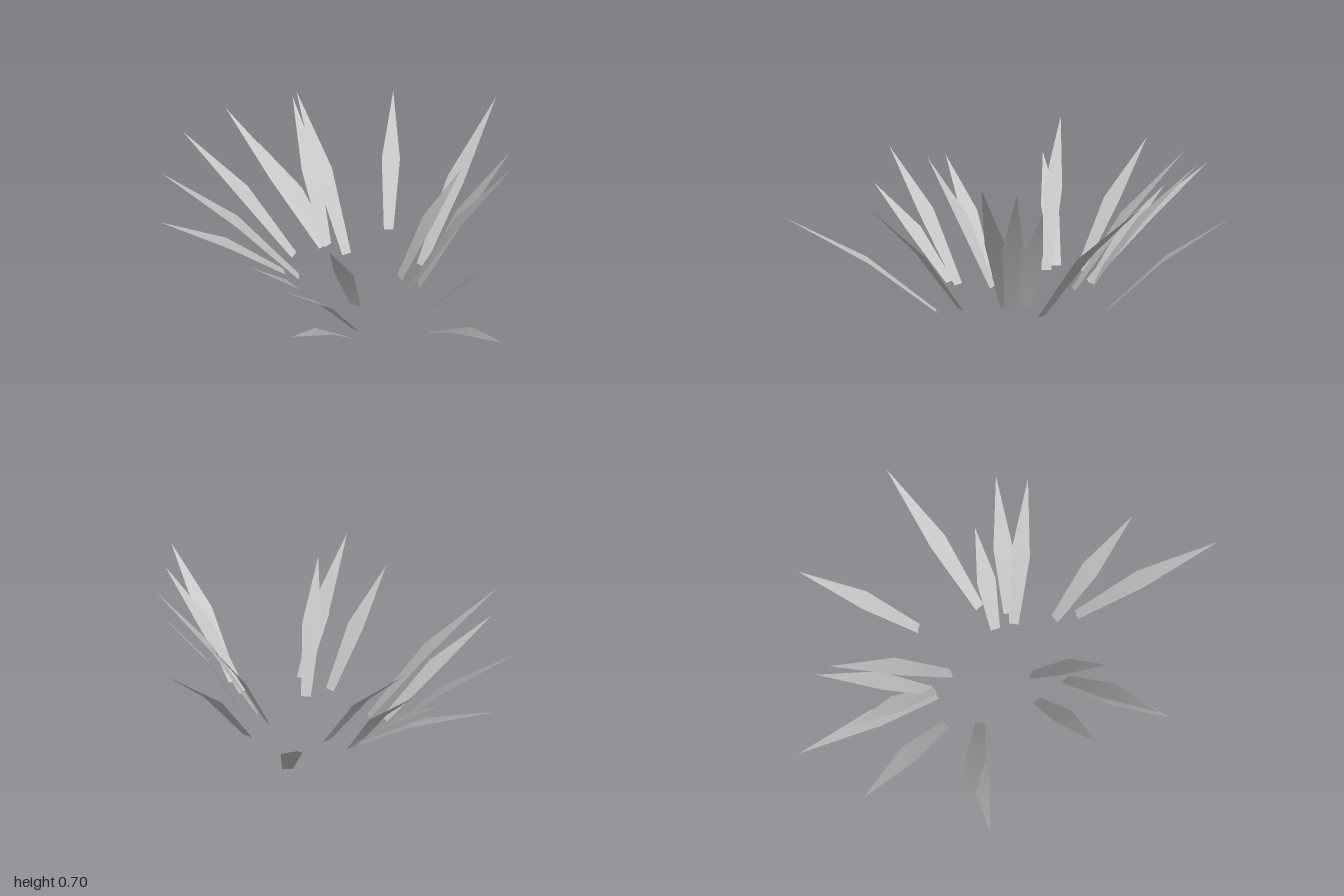
import * as THREE from 'three';

// Each blade: base x, base z, tip x, tip z, tip height
const BLADES = [
  [-0.107, -0.4, -0.38, -0.863, 0.485],
  [0.174, -0.247, 0.216, -0.845, 0.66],
  [0.138, -0.112, 0.299, -0.377, 0.545],
  [0.243, -0.118, 0.51, -0.433, 0.685],
  [0.218, -0.062, 0.588, -0.308, 0.7],
  [0.37, 0.074, 0.812, 0.137, 0.565],
  [0.458, 0.14, 1.0, 0.502, 0.492],
  [0.17, 0.37, 0.22, 0.858, 0.405],
  [0.165, 0.313, 0.148, 0.818, 0.587],
  [0.073, 0.172, 0.167, 0.51, 0.59],
  [-0.008, 0.277, -0.115, 0.7, 0.513],
  [-0.35, 0.155, -0.706, 0.594, 0.433],
  [-0.27, 0.147, -0.747, 0.505, 0.635],
  [-0.385, 0.027, -0.967, 0.102, 0.556],
  [-0.305, -0.105, -1.0, -0.262, 0.486],
  [-0.29, -0.13, -0.75, -0.195, 0.41],
  [-0.175, -0.123, -0.645, -0.388, 0.64],
  [-0.3, -0.13, -0.7, -0.428, 0.57],
];
const BASE_HALF = 0.024, MID_HALF = 0.046;

// Flat leaf, widest near the middle, bending outward to a pointed tip
function bladeGeometry([bx, bz, tx, tz, h]) {
  const dx = tx - bx, dz = tz - bz, len = Math.hypot(dx, dz);
  const px = dz / len, pz = -dx / len;
  const mx = bx + dx * 0.46, mz = bz + dz * 0.46, my = h * 0.545;
  const positions = [];
  for (const [x, y, z, half] of [[bx, 0, bz, BASE_HALF], [mx, my, mz, MID_HALF]]) {
    positions.push(x - px * half, y, z - pz * half, x + px * half, y, z + pz * half);
  }
  positions.push(tx, h, tz);
  const geometry = new THREE.BufferGeometry();
  geometry.setAttribute('position', new THREE.Float32BufferAttribute(positions, 3));
  geometry.setIndex([0, 1, 3, 0, 3, 2, 2, 3, 4]);
  geometry.computeVertexNormals();
  return geometry;
}

export function createModel() {
  const group = new THREE.Group();
  group.name = 'grassTuft';
  const material = new THREE.MeshStandardMaterial({ color: 0xc6c6c6, side: THREE.DoubleSide });
  material.name = 'paleGrey';
  BLADES.forEach((blade, i) => {
    const mesh = new THREE.Mesh(bladeGeometry(blade), material);
    mesh.name = `blade${i + 1}`;
    group.add(mesh);
  });
  return group;
}
